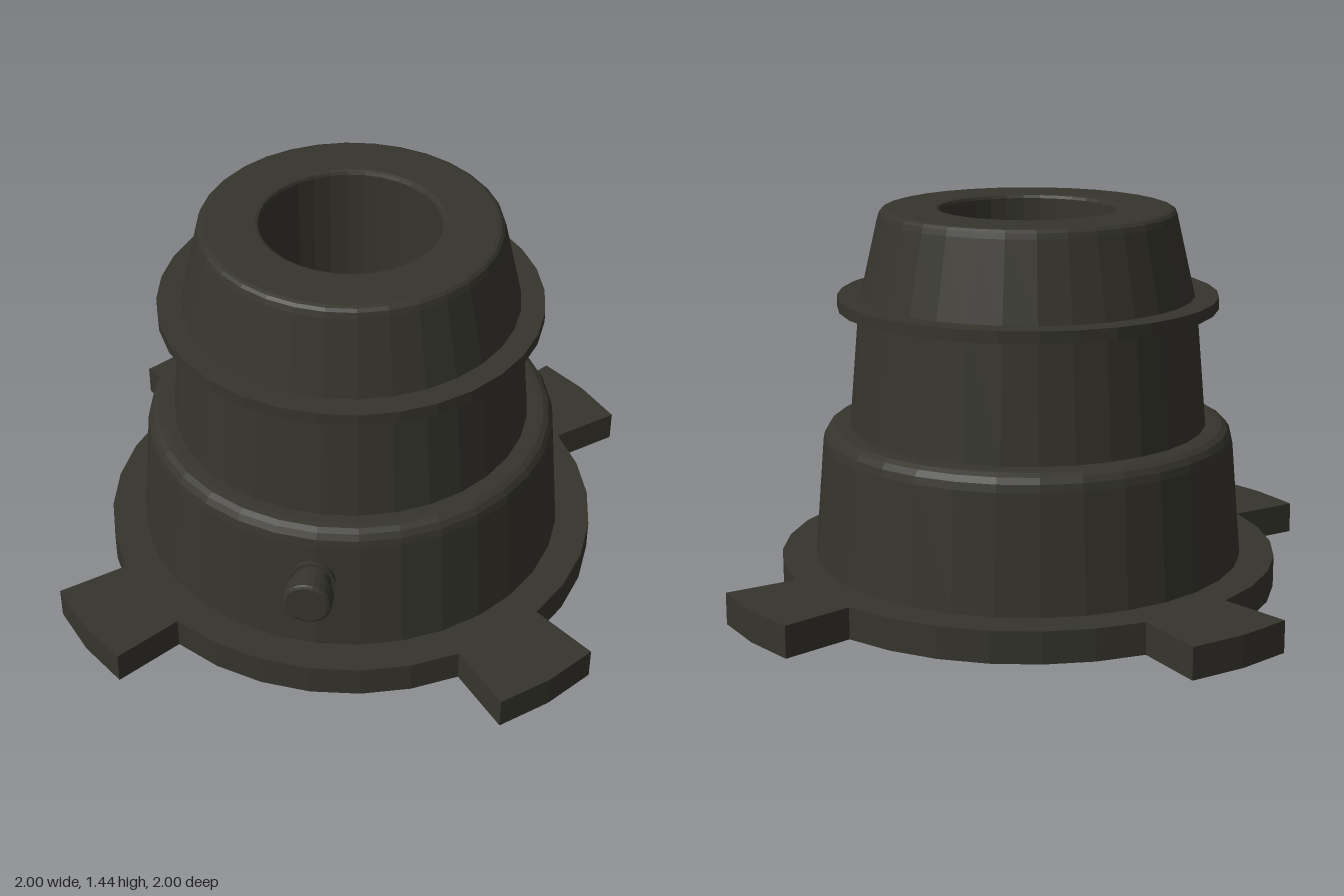
import * as THREE from 'three';

const SIDES = 32;

export function createModel() {
  const group = new THREE.Group();
  const material = new THREE.MeshStandardMaterial({ color: 0x35342c, flatShading: true });
  material.name = 'dark olive grey';

  const add = (name, geometry) => {
    const mesh = new THREE.Mesh(geometry, material);
    mesh.name = name;
    group.add(mesh);
    return mesh;
  };
  const lathe = (name, profile, sides = SIDES) =>
    add(name, new THREE.LatheGeometry(profile.map(([r, y]) => new THREE.Vector2(r, y)), sides));

  // Base plate: a faceted disc with four flared lugs on the diagonals
  const outline = [];
  const polar = (radius, degrees) => {
    const a = THREE.MathUtils.degToRad(degrees);
    outline.push(new THREE.Vector2(radius * Math.cos(a), radius * Math.sin(a)));
  };
  for (let i = 0; i < SIDES; i++) {
    const angle = (i * 360) / SIDES;
    if (i % 8 === 4) [-10, 0, 10].forEach((d) => polar(1.22, angle + d));
    else polar(0.945, angle);
  }
  const plate = new THREE.ExtrudeGeometry(new THREE.Shape(outline), { depth: 0.12, bevelEnabled: false });
  plate.rotateX(-Math.PI / 2);
  add('basePlate', plate);

  // Wide lower housing with a rounded shoulder
  lathe('lowerHousing', [
    [0.815, 0.12], [0.778, 0.56], [0.772, 0.588], [0.758, 0.61],
    [0.738, 0.622], [0.715, 0.625], [0.66, 0.625],
  ]);

  // Tapered neck
  lathe('neck', [[0.675, 0.62], [0.635, 1.08]]);

  // Thin collar ring
  lathe('collar', [[0.6, 1.07], [0.715, 1.07], [0.715, 1.115], [0.6, 1.115]]);

  // Tapered top with rounded rim and a deep central bore
  lathe('topSocket', [
    [0.628, 1.11], [0.56, 1.405], [0.553, 1.426], [0.543, 1.436], [0.53, 1.44],
    [0.345, 1.44], [0.335, 1.436], [0.33, 1.425], [0.33, 0.125], [0, 0.125],
  ]);

  // Small stepped knob on the front
  const knob = lathe('frontKnob', [
    [0.08, 0.7], [0.08, 0.8], [0.07, 0.8], [0.07, 0.858], [0.088, 0.858],
    [0.088, 0.914], [0.084, 0.921], [0.076, 0.925], [0, 0.925],
  ], 24);
  knob.rotation.x = Math.PI / 2;
  knob.position.set(-0.01, 0.415, 0);

  return group;
}
